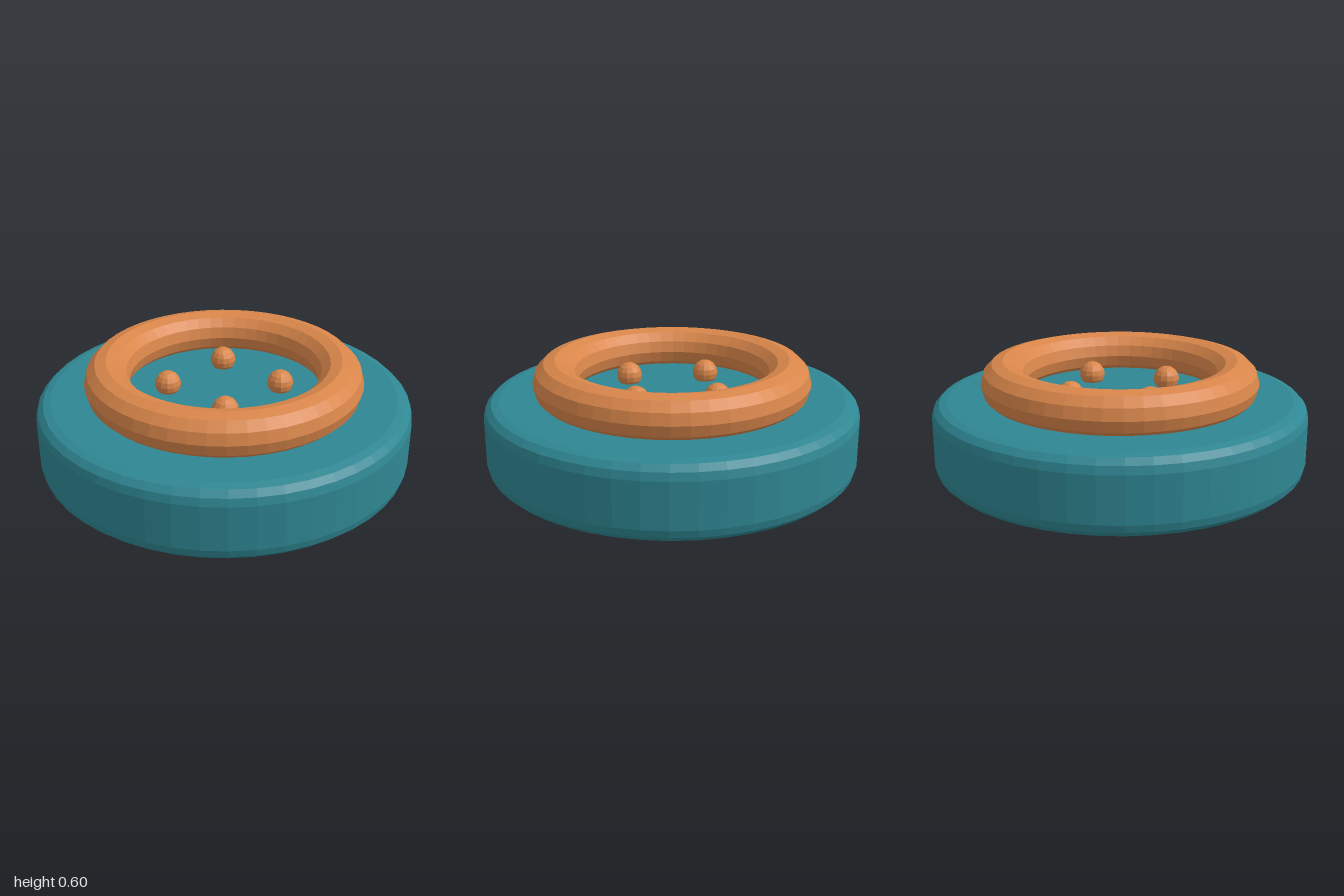
import * as THREE from 'three';

export function createModel() {
  const group = new THREE.Group();
  const teal = new THREE.MeshStandardMaterial({ color: 0x2f8793, flatShading: true });
  teal.name = 'teal';
  const orange = new THREE.MeshStandardMaterial({ color: 0xd9864a, flatShading: true });
  orange.name = 'orange';

  const add = (name, geometry, material, x, y, z) => {
    const mesh = new THREE.Mesh(geometry, material);
    mesh.name = name;
    mesh.position.set(x, y, z);
    group.add(mesh);
    return mesh;
  };

  // Thick round base with rounded rims
  const radius = 1, height = 0.4, bevel = 0.08, steps = 3;
  const profile = [new THREE.Vector2(0, 0)];
  for (const top of [false, true]) {
    for (let i = 0; i <= steps; i++) {
      const a = (i / steps + (top ? 0 : -1)) * Math.PI / 2;
      const cy = top ? height - bevel : bevel;
      profile.push(new THREE.Vector2(radius - bevel + Math.cos(a) * bevel, cy + Math.sin(a) * bevel));
    }
  }
  profile.push(new THREE.Vector2(0, height));
  add('base', new THREE.LatheGeometry(profile, 48), teal, 0, 0, 0);

  // Raised ring, slightly sunk into the base
  const ring = new THREE.TorusGeometry(0.62, 0.12, 12, 48);
  ring.rotateX(-Math.PI / 2);
  add('ring', ring, orange, 0, 0.48, 0);

  // Four studs inside the ring
  const stud = new THREE.SphereGeometry(0.07, 12, 8);
  for (let i = 0; i < 4; i++) {
    const a = i * Math.PI / 2;
    add('stud' + (i + 1), stud, orange, 0.3 * Math.cos(a), 0.44, 0.3 * Math.sin(a));
  }
  return group;
}
